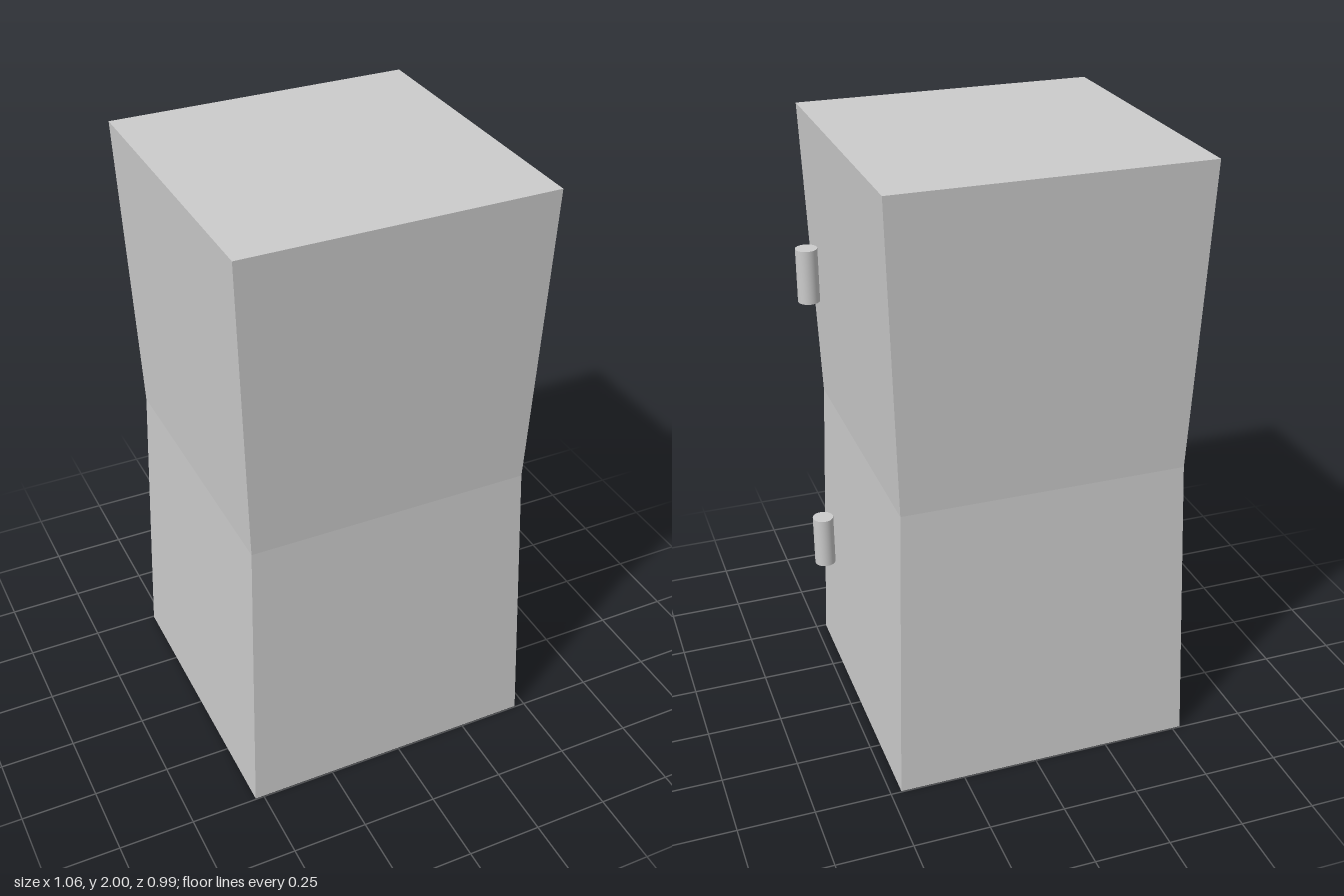
import * as THREE from 'three';

const material = new THREE.MeshStandardMaterial({ color: 0xcccccc });
const flatMaterial = new THREE.MeshStandardMaterial({ color: 0xcccccc, flatShading: true });

// Square block whose middle ring of vertices is pulled in to form a waist
function makeBody() {
  const geometry = new THREE.BoxGeometry(0.993, 2, 0.993, 1, 2, 1);
  const pos = geometry.attributes.position;
  const waist = 0.463 / 0.4965;
  for (let i = 0; i < pos.count; i++) {
    if (Math.abs(pos.getY(i)) < 0.01) {
      pos.setX(i, pos.getX(i) * waist);
      pos.setZ(i, pos.getZ(i) * waist);
    }
  }
  geometry.computeVertexNormals();
  const body = new THREE.Mesh(geometry, flatMaterial);
  body.name = 'cabinetBody';
  body.position.set(-0.032, 1, 0);
  return body;
}

// Upright hinge pin on the left side, near the front
function makeHinge(name, x, y) {
  const hinge = new THREE.Mesh(new THREE.CylinderGeometry(0.036, 0.036, 0.182, 32), material);
  hinge.name = name;
  hinge.position.set(x, y, 0.345);
  return hinge;
}

export function createModel() {
  const model = new THREE.Group();
  model.name = 'cabinet';
  model.add(
    makeBody(),
    makeHinge('upperHinge', 0.491, 1.475),
    makeHinge('lowerHinge', 0.486, 0.472)
  );
  return model;
}
